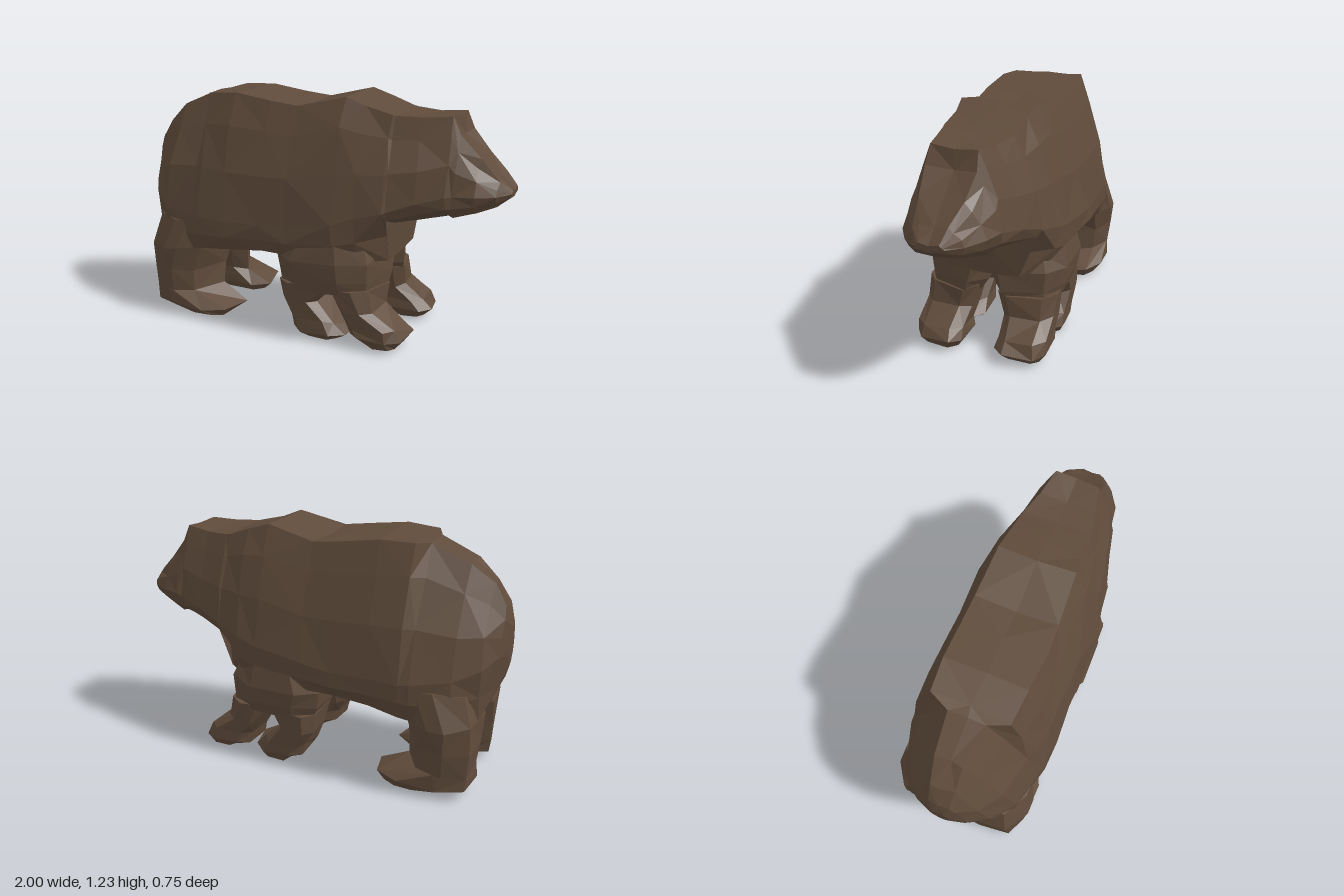
import * as THREE from 'three';

const fur = new THREE.MeshStandardMaterial({ color: 0x5f4b3b });
fur.name = 'brownFur';

// Small repeatable offset that makes the facets slightly irregular
let seed = 7;
function wobble(size) {
  seed = (seed * 16807) % 2147483647;
  return (seed / 2147483647 - 0.5) * 2 * size;
}

// Skin closed rings of points into a faceted, capped solid
function loft(name, rings) {
  const out = [];
  const n = rings[0].length;
  const tri = (...pts) => pts.forEach((p) => out.push(p.x, p.y, p.z));
  for (let i = 0; i < rings.length - 1; i++) {
    for (let j = 0; j < n; j++) {
      const k = (j + 1) % n;
      const a = rings[i][j], b = rings[i][k], c = rings[i + 1][j], d = rings[i + 1][k];
      if ((i + j) % 2) { tri(a, c, b); tri(b, c, d); }
      else { tri(a, c, d); tri(a, d, b); }
    }
  }
  const cap = (ring, flip) => {
    const mid = new THREE.Vector3();
    ring.forEach((p) => mid.addScaledVector(p, 1 / n));
    ring.forEach((p, j) => {
      const q = ring[(j + 1) % n];
      if (flip) tri(mid, q, p); else tri(mid, p, q);
    });
  };
  cap(rings[0], false);
  cap(rings[rings.length - 1], true);
  const geo = new THREE.BufferGeometry();
  geo.setAttribute('position', new THREE.Float32BufferAttribute(out, 3));
  geo.computeVertexNormals();
  const mesh = new THREE.Mesh(geo, fur);
  mesh.name = name;
  return mesh;
}

// Body cross-section: x, bottom, top, half-widths of belly, lower side and widest line,
// height of the widest line, half-width of the back
function bodyRing([x, yb, yt, wb, wl, w, ym, wt]) {
  const at = (t, k) => [w + (wt - w) * k, ym + (yt - ym) * t];
  const half = [[wb, yb + 0.01], [wl, yb + (ym - yb) * 0.5], [w, ym], at(0.4, 0.24), at(0.75, 0.66), at(0.99, 1)];
  const pts = [[0, yb], ...half, [0, yt - 0.008], ...half.reverse().map(([z, y]) => [-z, y])];
  const r = Math.min(0.008, w * 0.05);
  return pts.map(([z, y]) => new THREE.Vector3(
    Math.abs(x) > 0.98 ? x : x + wobble(r), y + wobble(r * 0.7), z + wobble(r)));
}

// Leg cross-section: y, back x, front x, inner z, outer z, cuts of the outer front and outer back corners
function legRing([y, x0, x1, z0, z1, front = 0, back = 0], side) {
  const pts = [];
  const square = (v) => Math.sign(v) * (Math.abs(v) > 0.5 ? 1 : 0.6);
  const trim = [front * 0.7, front, -back, -back * 0.3, 0, 0, 0, 0];
  for (let k = 0; k < 8; k++) {
    const a = ((k + 0.5) * Math.PI) / 4;
    const x = (x0 + x1) / 2 + (square(Math.cos(a)) * (x1 - x0)) / 2;
    const z = (z0 + z1) / 2 + (square(Math.sin(a)) * (z1 - z0)) / 2;
    pts.push(new THREE.Vector3(
      x - trim[k] + wobble(0.006),
      y + (y > 0.03 ? wobble(0.012) : wobble(0.006)),
      side * (z + wobble(0.005))));
  }
  return side > 0 ? pts : pts.reverse();
}

export function createModel() {
  const model = new THREE.Group();
  model.name = 'bear';

  // Rump, back and shoulders, tapering smoothly towards the neck
  const torso = [
    [-1.0, 0.63, 0.83, 0.02, 0.04, 0.05, 0.72, 0.03],
    [-0.97, 0.52, 0.93, 0.07, 0.11, 0.13, 0.7, 0.05],
    [-0.91, 0.38, 1.03, 0.18, 0.21, 0.215, 0.66, 0.06],
    [-0.8, 0.37, 1.125, 0.28, 0.3, 0.3, 0.6, 0.07],
    [-0.61, 0.38, 1.21, 0.32, 0.35, 0.35, 0.58, 0.09],
    [-0.56, 0.39, 1.22, 0.33, 0.36, 0.36, 0.58, 0.19],
    [-0.4, 0.41, 1.225, 0.33, 0.365, 0.37, 0.58, 0.205],
    [-0.2, 0.43, 1.2, 0.33, 0.365, 0.37, 0.58, 0.21],
    [-0.05, 0.43, 1.18, 0.33, 0.365, 0.365, 0.6, 0.205],
    [0.2, 0.43, 1.243, 0.32, 0.355, 0.355, 0.64, 0.195],
    [0.31, 0.43, 1.205, 0.28, 0.33, 0.34, 0.68, 0.185],
    [0.435, 0.43, 1.165, 0.19, 0.21, 0.31, 0.71, 0.175],
  ];
  // Neck, brow and muzzle
  const head = [
    [0.455, 0.63, 1.162, 0.19, 0.28, 0.305, 0.72, 0.17],
    [0.58, 0.66, 1.155, 0.18, 0.24, 0.265, 0.76, 0.145],
    [0.72, 0.69, 1.168, 0.16, 0.215, 0.225, 0.8, 0.11],
    [0.75, 0.69, 1.08, 0.16, 0.21, 0.22, 0.81, 0.115],
    [0.85, 0.72, 0.98, 0.14, 0.18, 0.19, 0.81, 0.1],
    [0.94, 0.745, 0.89, 0.1, 0.13, 0.14, 0.81, 0.07],
    [0.995, 0.79, 0.83, 0.03, 0.06, 0.07, 0.815, 0.05],
  ];
  model.add(loft('bodyAndHead', [...torso, ...head].map(bodyRing)));

  // Legs, each listed from the sole upwards
  const legs = {
    HindLeg: [
      [0.01, -0.72, -0.46, 0.1, 0.32, 0.03, 0.03], [0.055, -0.91, -0.41, 0.08, 0.355, 0.06, 0.06],
      [0.13, -0.91, -0.56, 0.08, 0.345, 0.12, 0.05], [0.25, -0.915, -0.55, 0.05, 0.355, 0.13, 0.05],
      [0.38, -0.92, -0.52, 0.0, 0.37, 0.11, 0.05], [0.54, -0.88, -0.5, 0.0, 0.335, 0.06, 0.08],
    ],
    FrontUpperLeg: [
      [0.27, -0.09, 0.41, 0.06, 0.35, 0.07], [0.34, -0.11, 0.43, 0.02, 0.365, 0.09],
      [0.43, -0.13, 0.43, 0.0, 0.375, 0.09], [0.53, -0.08, 0.41, 0.0, 0.35, 0.1],
    ],
    FrontRearPaw: [
      [0.01, 0.04, 0.2, 0.12, 0.32], [0.05, -0.03, 0.27, 0.09, 0.345, 0.03],
      [0.11, -0.05, 0.19, 0.1, 0.34], [0.2, -0.09, 0.1, 0.08, 0.345],
      [0.3, -0.11, 0.17, 0.06, 0.35],
    ],
    FrontForwardPaw: [
      [0.015, 0.38, 0.52, 0.12, 0.32], [0.06, 0.28, 0.57, 0.09, 0.35, 0.03],
      [0.11, 0.26, 0.52, 0.1, 0.34], [0.19, 0.22, 0.42, 0.09, 0.345, 0.03],
      [0.3, 0.15, 0.42, 0.06, 0.35, 0.06],
    ],
  };
  for (const side of [1, -1]) {
    for (const [part, rows] of Object.entries(legs)) {
      const name = (side > 0 ? 'near' : 'far') + part;
      model.add(loft(name, rows.map((row) => legRing(row, side))));
    }
  }
  return model;
}
